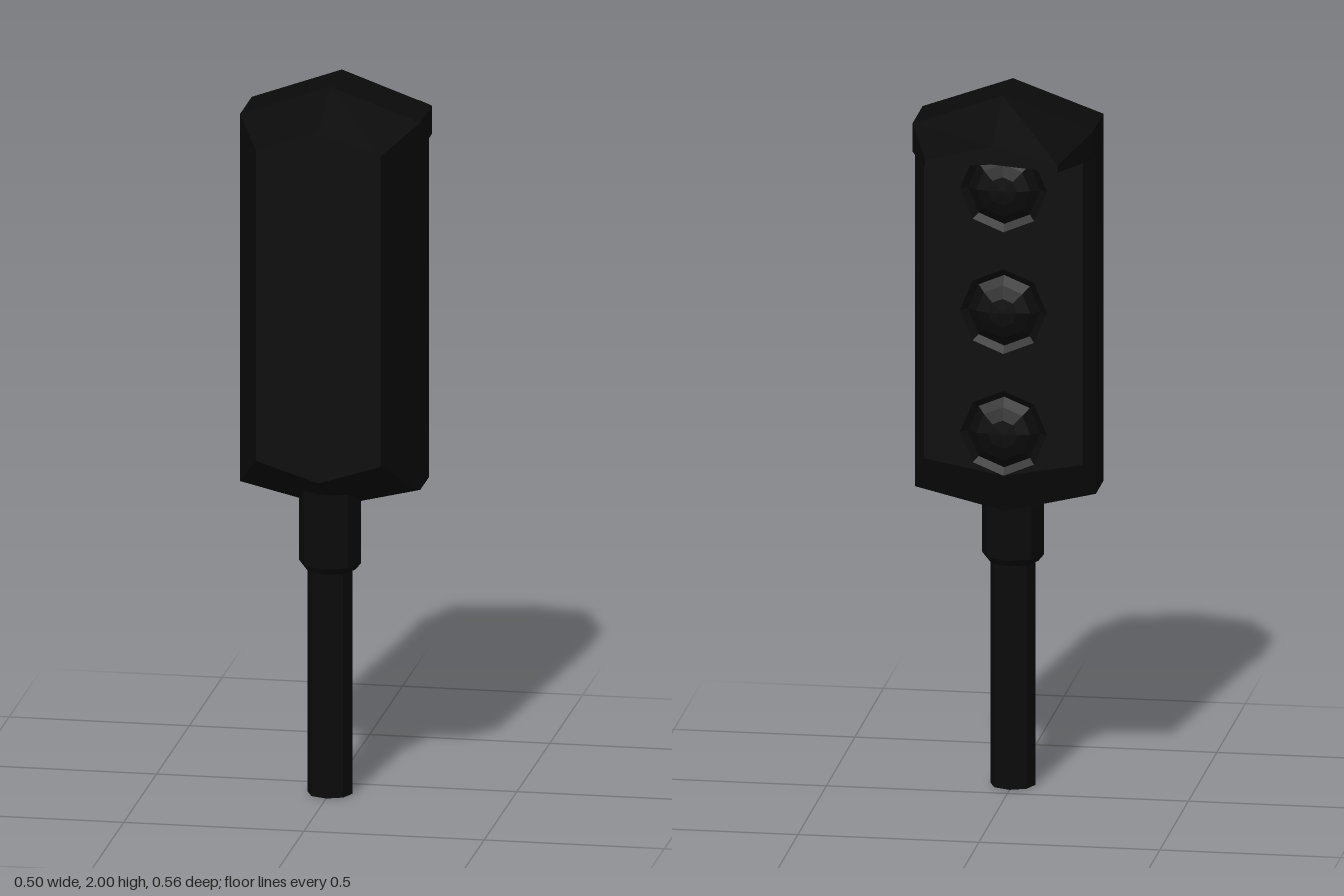
import * as THREE from 'three';

const material = new THREE.MeshStandardMaterial({ color: 0x0a0a0a, flatShading: true });

function add(parent, name, geometry, x = 0, y = 0, z = 0) {
  const mesh = new THREE.Mesh(geometry, material);
  mesh.name = name;
  mesh.position.set(x, y, z);
  parent.add(mesh);
  return mesh;
}

// Six-cornered section with a peaked top and a peaked or flat bottom,
// counter-clockwise as seen from the front
const section = ({ w, peak, eave, side, keel }) =>
  [[0, peak], [-w, eave], [-w, side], [0, keel], [w, side], [w, eave]];

// Skin stretched over sections ordered from front to back
function loft(sections, capBack) {
  const pos = [], index = [], n = 6, last = (sections.length - 1) * n;
  sections.forEach(s => section(s).forEach(([x, y]) => pos.push(x, y, s.z)));
  for (let r = 0; r < last; r += n) {
    for (let i = 0; i < n; i++) {
      const a = r + i, b = r + (i + 1) % n;
      index.push(a, a + n, b + n, a, b + n, b);
    }
  }
  for (let i = 1; i < n - 1; i++) {
    index.push(0, i, i + 1);
    if (capBack) index.push(last, last + i + 1, last + i);
  }
  const geometry = new THREE.BufferGeometry();
  geometry.setAttribute('position', new THREE.Float32BufferAttribute(pos, 3));
  geometry.setIndex(index);
  const flat = geometry.toNonIndexed();
  flat.computeVertexNormals();
  return flat;
}

export function createModel() {
  const model = new THREE.Group();
  model.name = 'trafficLight';

  // Pole and the collar that holds the housing
  const poleZ = 0.1;
  add(model, 'pole', new THREE.CylinderGeometry(0.0625, 0.0625, 0.66, 8), 0, 0.33, poleZ);
  const collar = [[0, 0.635], [0.07, 0.635], [0.086, 0.655], [0.086, 0.9], [0, 0.9]]
    .map(([r, y]) => new THREE.Vector2(r, y));
  add(model, 'collar', new THREE.LatheGeometry(collar, 8), 0, 0, poleZ);

  // Housing with bevelled front, bottom and lamp side
  const panel = { z: -0.07, w: 0.22, peak: 1.98, eave: 1.9, side: 0.96, keel: 0.92 };
  add(model, 'housing', loft([
    { z: 0.28, w: 0.173, peak: 1.92, eave: 1.86, side: 0.98, keel: 0.925 },
    { z: 0.1, w: 0.25, peak: 2, eave: 1.91, side: 0.87, keel: 0.81 },
    { z: -0.035, w: 0.25, peak: 2, eave: 1.91, side: 0.87, keel: 0.81 },
    panel,
  ], false));

  // Lamp panel with an eight-sided opening for each lamp
  const lampHeights = [1.04, 1.385, 1.73], lampRadius = 0.12;
  const face = new THREE.Shape(section(panel).map(p => new THREE.Vector2(...p)));
  for (const y of lampHeights) {
    const hole = [];
    for (let k = 0; k < 8; k++) {
      const a = k * Math.PI / 4;
      hole.push(new THREE.Vector2(lampRadius * Math.cos(a), y + lampRadius * Math.sin(a)));
    }
    face.holes.push(new THREE.Path(hole));
  }
  add(model, 'lampPanel', new THREE.ShapeGeometry(face).rotateY(Math.PI), 0, 0, panel.z);

  // Lamps: a sunken rim around a shallow dome
  const dome = [[lampRadius, 0], [0.1, -0.015], [0.075, 0.004], [0.04, 0.014], [0, 0.016]]
    .map(([r, h]) => new THREE.Vector2(r, h));
  for (const y of lampHeights) {
    add(model, 'lamp', new THREE.LatheGeometry(dome, 8).rotateX(-Math.PI / 2), 0, y, panel.z);
  }

  // Hood that continues the roof out over the lamps
  add(model, 'hood', loft([
    { z: -0.035, w: 0.25, peak: 2, eave: 1.91, side: 1.83, keel: 1.83 },
    { z: -0.078, w: 0.25, peak: 2, eave: 1.91, side: 1.83, keel: 1.83 },
    { z: -0.28, w: 0.183, peak: 1.91, eave: 1.865, side: 1.845, keel: 1.86 },
  ], true));

  return model;
}
